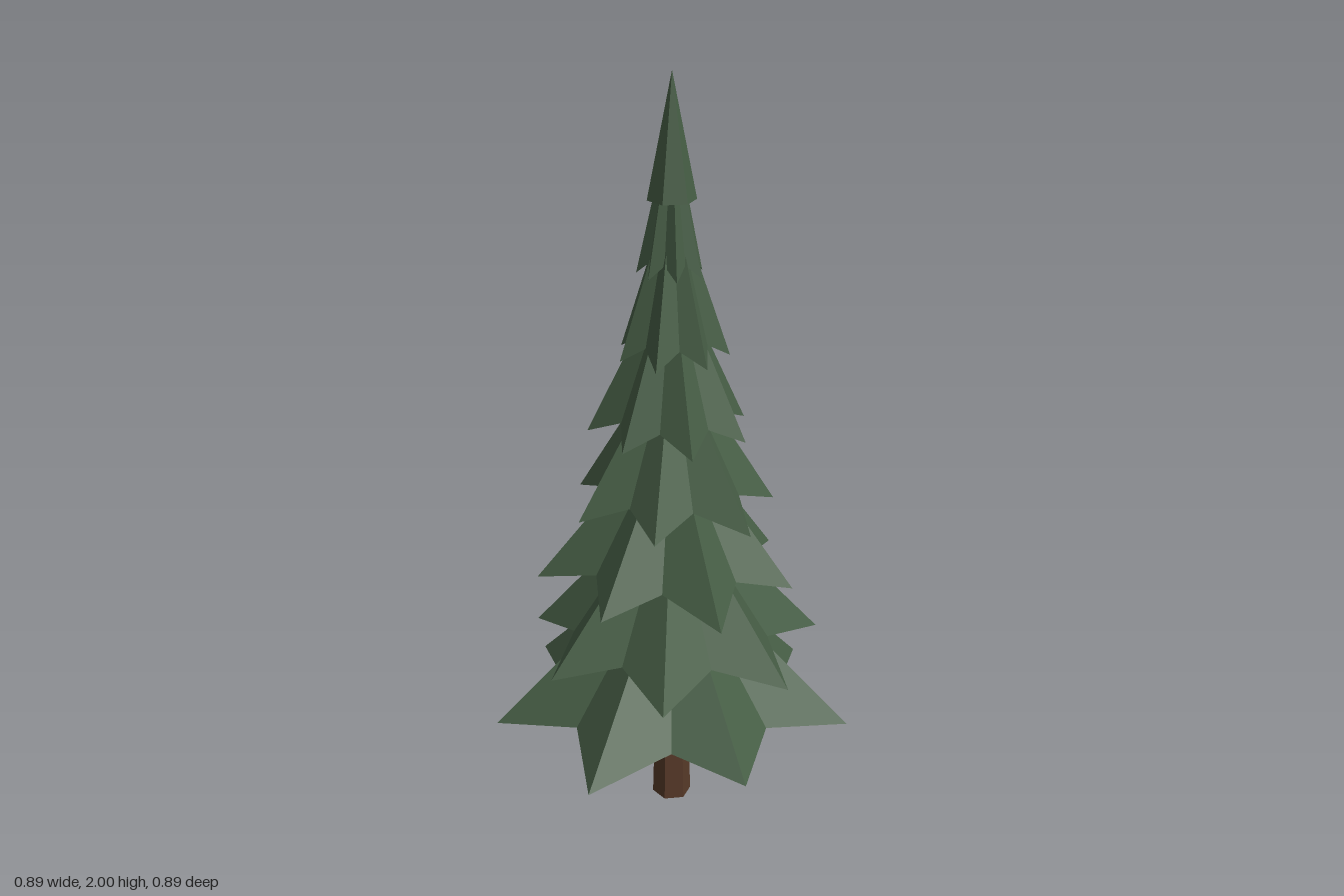
import * as THREE from 'three';

const STEP = (Math.PI * 2) / 7;

// Seven-pointed star skirt: ridges run from the apex to the low tips,
// valleys sit further in and higher. Group 0 is the upper side, group 1
// the hollowed underside.
function starTier(tips, tipY, lift, apexY, hollowY, turn) {
  const mean = tips.reduce((a, b) => a + b, 0) / tips.length;
  const rim = [];
  tips.forEach((r, k) => {
    const a = turn + k * STEP, v = a + STEP / 2;
    rim.push([Math.cos(a) * r, tipY, Math.sin(a) * r]);
    rim.push([Math.cos(v) * mean * 0.68, tipY + lift, Math.sin(v) * mean * 0.68]);
  });
  const upper = [], under = [];
  rim.forEach((p, i) => {
    const q = rim[(i + 1) % rim.length];
    upper.push(0, apexY, 0, ...q, ...p);
    under.push(0, hollowY, 0, ...p, ...q);
  });
  const g = new THREE.BufferGeometry();
  g.setAttribute('position', new THREE.Float32BufferAttribute([...upper, ...under], 3));
  g.computeVertexNormals();
  g.addGroup(0, upper.length / 3, 0);
  g.addGroup(upper.length / 3, under.length / 3, 1);
  return g;
}

export function createModel() {
  const tree = new THREE.Group();
  tree.name = 'pineTree';
  const paint = (name, color) => new THREE.MeshStandardMaterial({ name, color, flatShading: true });
  const needles = paint('needleGreen', 0x465d45);
  const shade = paint('undersideGreen', 0x2d3d36);
  const bark = paint('barkBrown', 0x573a29);
  const cutWood = paint('cutWood', 0x9a7452);

  const add = (name, geometry, material, y = 0) => {
    const mesh = new THREE.Mesh(geometry, material);
    mesh.name = name;
    mesh.position.set(-0.012, y, 0.019);
    tree.add(mesh);
  };

  // Tapered six-sided trunk with a pale cut base
  add('trunk', new THREE.CylinderGeometry(0.039, 0.053, 0.5, 6), [bark, bark, cutWood], 0.25);

  // Branch tiers from bottom to top: tip radii, tip height, valley lift, apex height
  const tiers = [
    [[0.454, 0.484, 0.434, 0.477, 0.482, 0.476, 0.468], 0.288, 0.046, 0.76],
    [[0.401, 0.397, 0.394, 0.381, 0.384, 0.376, 0.381], 0.492, 0.046, 0.94],
    [[0.33, 0.36, 0.335, 0.355, 0.344, 0.32, 0.317], 0.7, 0.047, 1.13],
    [[0.289, 0.27, 0.27, 0.262, 0.255, 0.283, 0.265], 0.902, 0.046, 1.33],
    [[0.21, 0.2, 0.215, 0.217, 0.205, 0.21, 0.203], 1.1, 0.044, 1.54],
    [[0.15, 0.14, 0.145, 0.14, 0.15, 0.145, 0.145], 1.304, 0.04, 1.73],
    [[0.083, 0.088, 0.085, 0.09, 0.08, 0.083, 0.087], 1.512, 0.034, 1.9],
  ];
  tiers.forEach(([tips, tipY, lift, apexY], i) => {
    const geometry = starTier(tips, tipY, lift, apexY, tipY + lift * 2.3, i * 0.5);
    add(`branchTier${i + 1}`, geometry, [needles, shade], 0);
  });

  // Plain pointed crown with a shaded base
  add('treeTop', new THREE.ConeGeometry(0.061, 0.305, 6), [needles, needles, shade], 1.8475);

  return tree;
}
